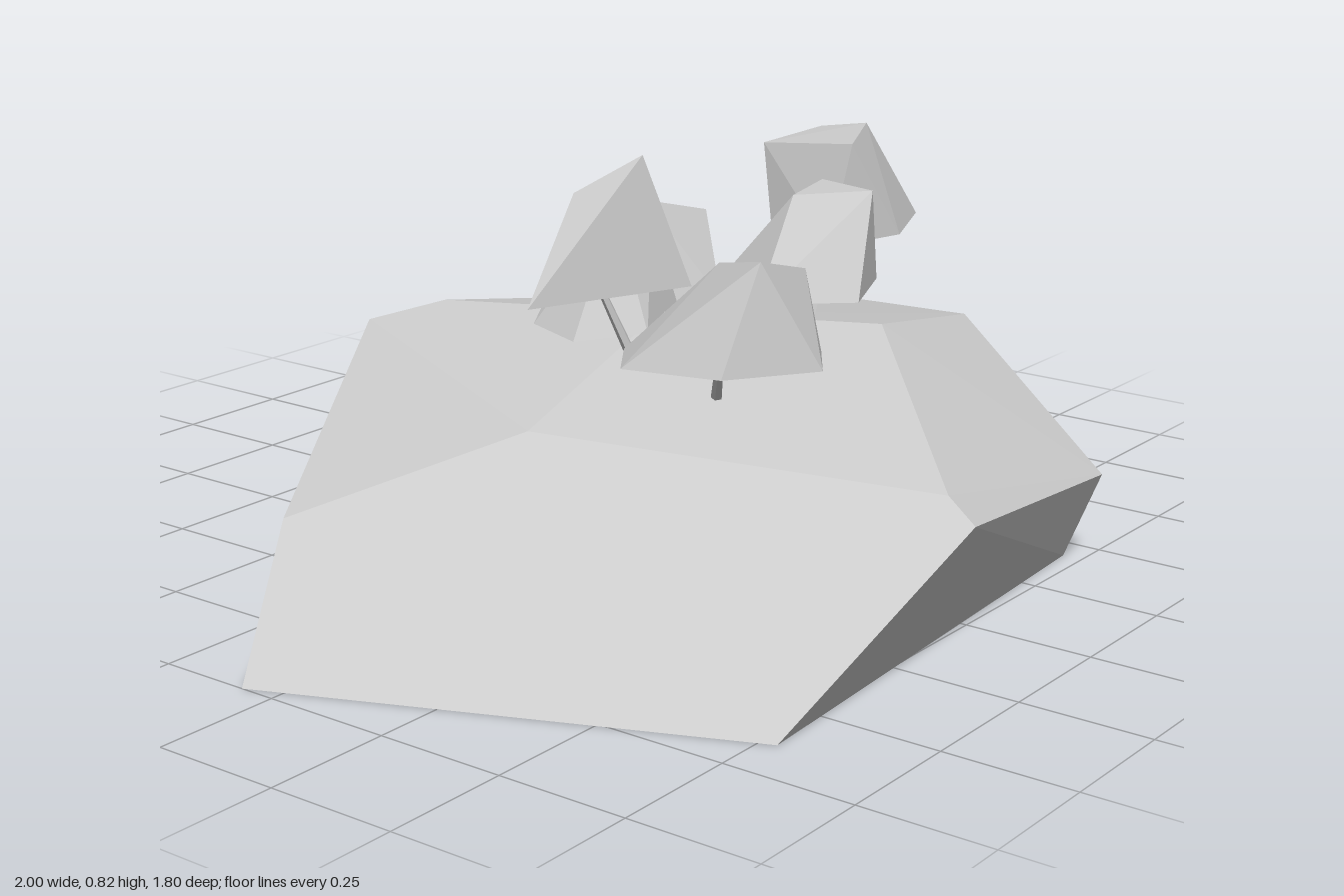
import * as THREE from 'three';
import { ConvexGeometry } from 'three/addons/geometries/ConvexGeometry.js';

const material = new THREE.MeshStandardMaterial({ color: 0xcccccc, flatShading: true });
const vec = (x, y, z) => new THREE.Vector3(x, y, z);

// Faceted solid wrapped around a few corners
function facetedSolid(name, corners) {
  const mesh = new THREE.Mesh(new ConvexGeometry(corners), material);
  mesh.name = name;
  return mesh;
}

// Flat underside of a canopy: a stretched polygon, turned by angle
function rimCorners(center, length, width, sides, phase, angle) {
  return Array.from({ length: sides }, (_, i) => {
    const t = ((i + phase) / sides) * Math.PI * 2;
    return vec(length * Math.cos(t), 0, width * Math.sin(t))
      .applyAxisAngle(vec(0, 1, 0), -angle)
      .add(center);
  });
}

// Thin tapered trunk leaning from the ground into the canopy
function leaningTrunk(from, to) {
  const dir = to.clone().sub(from);
  const trunk = new THREE.Mesh(new THREE.CylinderGeometry(0.006, 0.011, dir.length(), 5), material);
  trunk.name = 'trunk';
  trunk.position.copy(from).addScaledVector(dir, 0.5);
  trunk.quaternion.setFromUnitVectors(vec(0, 1, 0), dir.normalize());
  return trunk;
}

function tree(name, { center, length, width, sides, phase = 0, angle, crown, root }) {
  const group = new THREE.Group();
  group.name = name;
  const middle = vec(...center);
  const rim = rimCorners(middle, length, width, sides, phase, angle);
  group.add(
    facetedSolid('canopy', [...rim, ...crown]),
    leaningTrunk(root, middle.clone().add(vec(0, 0.04, 0))),
  );
  return group;
}

// Hill: base corners, overhanging front edge, shoulders, then the plateau
function hill() {
  return facetedSolid('hill', [
    vec(-1, 0, -0.07), vec(-0.64, 0, 0.78), vec(0.43, 0, 0.71), vec(1, 0, -0.62), vec(0.45, 0, -0.9),
    vec(-0.24, 0.285, 0.9), vec(0.4, 0.19, 0.8),
    vec(0.59, 0.395, 0.38), vec(0.81, 0.315, -0.14), vec(-0.78, 0.22, -0.18),
    vec(-0.48, 0.365, 0.13), vec(-0.21, 0.41, -0.5), vec(-0.23, 0.325, 0.84),
    vec(0.2, 0.465, 0.43), vec(-0.12, 0.45, -0.38), vec(0, 0.472, 0.06),
  ]);
}

export function createModel() {
  const model = new THREE.Group();
  model.name = 'hillWithTrees';
  model.add(
    hill(),
    tree('frontLeftTree', {
      center: [-0.3, 0.505, 0.42], length: 0.2, width: 0.13, sides: 6, phase: 0.5, angle: 0.96,
      crown: [vec(-0.33, 0.7, 0.52), vec(-0.15, 0.65, 0.49), vec(-0.24, 0.66, 0.37)],
      root: vec(-0.19, 0.39, 0.33),
    }),
    tree('tallLeftTree', {
      center: [-0.24, 0.572, 0.08], length: 0.2, width: 0.18, sides: 3, angle: 3.05,
      crown: [vec(-0.2, 0.82, 0.17), vec(-0.31, 0.76, 0.1), vec(-0.12, 0.73, 0.06), vec(-0.17, 0.68, -0.02), vec(-0.08, 0.58, 0.06)],
      root: vec(-0.16, 0.42, 0.12),
    }),
    tree('lowMiddleTree', {
      center: [-0.05, 0.46, -0.03], length: 0.2, width: 0.13, sides: 6, angle: -0.35,
      crown: [vec(-0.05, 0.67, -0.01), vec(0.05, 0.64, 0), vec(-0.02, 0.6, -0.13), vec(0.08, 0.57, -0.12)],
      root: vec(-0.04, 0.42, 0),
    }),
    tree('backRightTree', {
      center: [0.18, 0.45, -0.15], length: 0.2, width: 0.18, sides: 4, angle: 1.39,
      crown: [vec(0.14, 0.645, -0.08), vec(0.31, 0.6, -0.06), vec(0.36, 0.55, -0.14), vec(0.22, 0.59, -0.21)],
      root: vec(0.2, 0.4, -0.06),
    }),
    tree('frontMiddleTree', {
      center: [0.05, 0.555, 0.345], length: 0.16, width: 0.155, sides: 5, angle: 3.05,
      crown: [vec(0.03, 0.73, 0.34), vec(0.14, 0.74, 0.33), vec(0.11, 0.74, 0.46), vec(0.17, 0.68, 0.27)],
      root: vec(0.07, 0.43, 0.33),
    }),
    tree('frontRightTree', {
      center: [0.35, 0.6, 0.23], length: 0.19, width: 0.13, sides: 5, angle: 2.65,
      crown: [vec(0.24, 0.79, 0.33), vec(0.35, 0.81, 0.29), vec(0.36, 0.79, 0.18), vec(0.28, 0.76, 0.1), vec(0.54, 0.6, 0.29)],
      root: vec(0.27, 0.43, 0.22),
    }),
  );
  return model;
}
